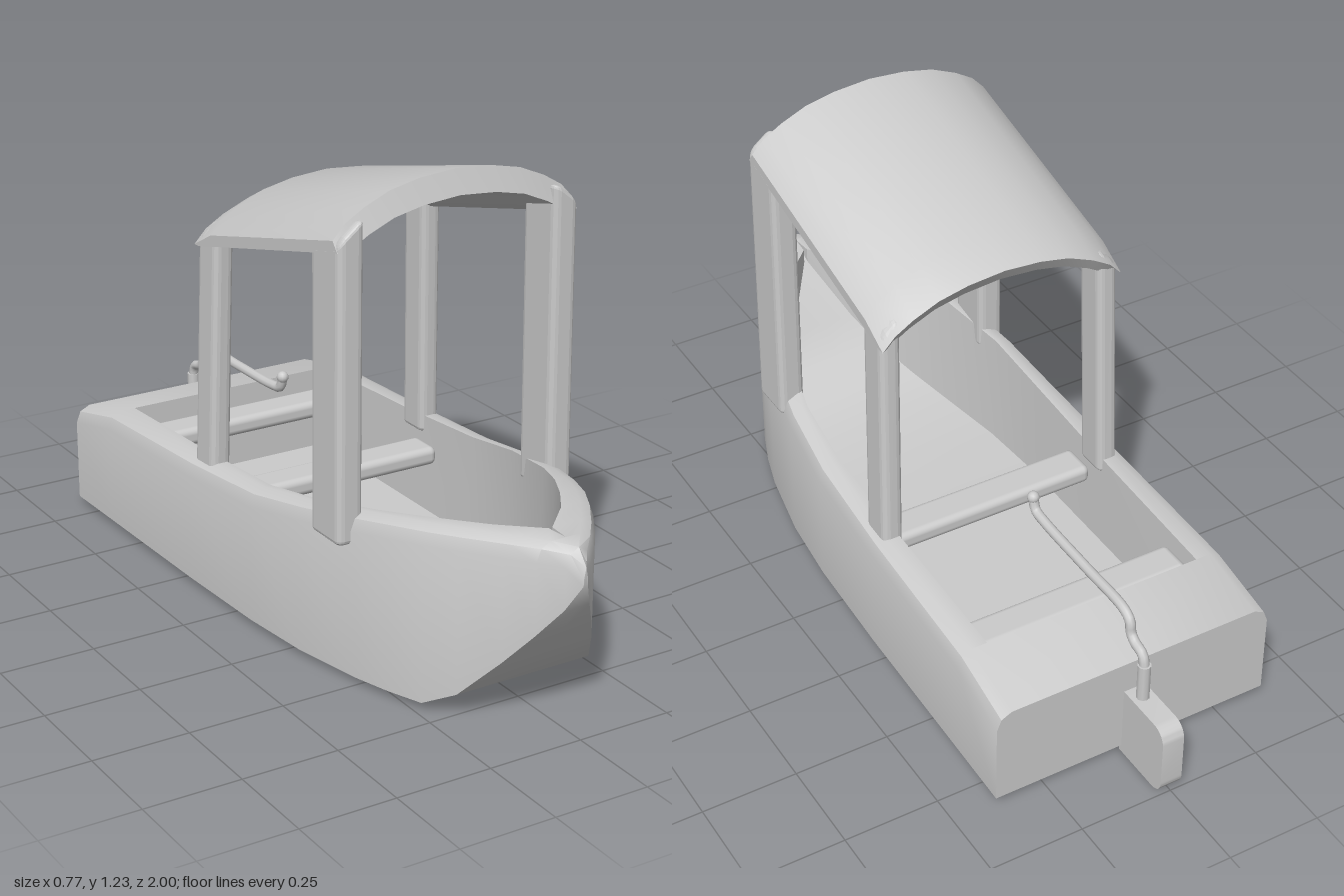
import * as THREE from 'three';
import { toCreasedNormals } from 'three/addons/utils/BufferGeometryUtils.js';
import { RoundedBoxGeometry } from 'three/addons/geometries/RoundedBoxGeometry.js';

const material = new THREE.MeshStandardMaterial({ color: 0xcccccc, side: THREE.DoubleSide });

function add(parent, name, geometry, x = 0, y = 0, z = 0) {
  const mesh = new THREE.Mesh(geometry, material);
  mesh.name = name;
  mesh.position.set(x, y, z);
  parent.add(mesh);
  return mesh;
}

// Skin closed rings of [x, y, z] points and cap both ends
function loft(rings, crease) {
  const n = rings[0].length, index = [], last = (rings.length - 1) * n;
  for (let k = 0; k < rings.length - 1; k++) {
    for (let i = 0; i < n; i++) {
      const a = k * n + i, b = k * n + (i + 1) % n;
      index.push(a, b, b + n, a, b + n, a + n);
    }
  }
  for (let i = 1; i < n - 1; i++) {
    index.push(0, i + 1, i, last, last + i, last + i + 1);
  }
  const g = new THREE.BufferGeometry();
  g.setAttribute('position', new THREE.Float32BufferAttribute(rings.flat(2), 3));
  g.setIndex(index);
  return toCreasedNormals(g, crease);
}

// Hull stations: z, half width, keel y, rim y, cockpit half width, floor y
const stations = [
  [-0.83, 0.385, 0.02, 0.285, 0, 0.285],
  [-0.64, 0.381, 0.02, 0.33, 0, 0.33],
  [-0.64, 0.381, 0.02, 0.33, 0.3, 0.1],
  [-0.2, 0.372, 0.02, 0.352, 0.3, 0.1],
  [0.1, 0.36, 0.02, 0.375, 0.3, 0.1],
  [0.3, 0.34, 0.02, 0.41, 0.287, 0.1],
  [0.5, 0.3, 0.02, 0.445, 0.24, 0.12],
  [0.6, 0.27, 0.02, 0.46, 0.2, 0.15],
  [0.69, 0.235, 0.02, 0.47, 0.15, 0.2],
  [0.77, 0.19, 0.065, 0.476, 0.095, 0.28],
  [0.86, 0.128, 0.17, 0.48, 0.005, 0.44],
  [0.92, 0.08, 0.25, 0.48, 0, 0.48],
  [0.97, 0.035, 0.325, 0.475, 0, 0.475],
  [1, 0.006, 0.39, 0.45, 0, 0.45],
];

function hullRing([z, w, yb, yt, wi, floor]) {
  const half = [
    [0, yb], [w, yb], [w, yt - 0.045],
    [Math.max(wi, w - 0.012), yt - 0.014],
    [Math.max(wi, w - 0.04), yt],
    [wi, yt], [wi * 0.96, floor], [0, floor],
  ];
  const mirrored = half.slice(1, -1).reverse().map(([x, y]) => [-x, y]);
  return [...half, ...mirrored].map(([x, y]) => [x, y, z]);
}

// Crown of the roof: how far it falls away from the centreline
const crown = [[0, 0], [0.1, 0.008], [0.18, 0.025], [0.25, 0.055], [0.3, 0.085], [0.333, 0.12]];
function drop(x) {
  const a = Math.min(Math.abs(x), 0.333);
  for (let i = 1; i < crown.length; i++) {
    const [x0, d0] = crown[i - 1], [x1, d1] = crown[i];
    if (a <= x1) return d0 + (d1 - d0) * (a - x0) / (x1 - x0);
  }
  return 0.12;
}

function roofGeometry() {
  // Fore-and-aft profile: z, y, and whether the point is on the underside
  const profile = [
    [0.475, 1.17, 1], [-0.1, 1.03, 1], [-0.19, 1.005, 1],
    [-0.21, 1.04, 0], [-0.125, 1.085, 0], [0.455, 1.23, 0],
  ];
  const xs = [...crown.slice(1).reverse().map(c => -c[0]), ...crown.map(c => c[0])];
  return loft(xs.map(x => profile.map(([z, y, under]) =>
    [x, y - (under ? Math.min(drop(x), 0.085) : drop(x)), z])), 0.6);
}

// Upright that leans from its foot to its head and is trimmed to the roof
function postGeometry(foot, head, width, depth) {
  const g = new RoundedBoxGeometry(width, 1, depth, 2, 0.018);
  const p = g.attributes.position;
  for (let i = 0; i < p.count; i++) {
    const t = THREE.MathUtils.clamp(p.getY(i) + 0.5, 0, 1);
    const x = p.getX(i) + THREE.MathUtils.lerp(foot[0], head[0], t);
    const z = p.getZ(i) + THREE.MathUtils.lerp(foot[2], head[2], t);
    const top = 1.115 + 0.252 * z - drop(x) - 0.012;
    p.setXYZ(i, x, THREE.MathUtils.lerp(foot[1], top, t), z);
  }
  g.computeVertexNormals();
  return g;
}

export function createModel() {
  const boat = new THREE.Group();
  boat.name = 'boat';

  add(boat, 'hull', loft(stations.map(hullRing), 0.65));

  // Benches across the cockpit
  for (const z of [-0.56, -0.11]) {
    add(boat, 'bench', new RoundedBoxGeometry(0.6, 0.05, 0.1, 3, 0.018), 0, 0.265, z);
  }

  // Canopy
  const canopy = new THREE.Group();
  canopy.name = 'canopy';
  boat.add(canopy);
  add(canopy, 'roof', roofGeometry());
  for (const side of [1, -1]) {
    add(canopy, 'frontPost', postGeometry(
      [side * 0.302, 0.36, 0.418], [side * 0.298, 1.1, 0.418], 0.07, 0.132));
    add(canopy, 'rearPost', postGeometry(
      [side * 0.316, 0.31, -0.17], [side * 0.303, 1, -0.15], 0.056, 0.095));
  }

  // Outboard motor with its tiller
  const motor = new THREE.Group();
  motor.name = 'outboardMotor';
  boat.add(motor);
  const casing = new THREE.Shape();
  casing.moveTo(0.82, 0);
  casing.lineTo(0.965, 0);
  casing.quadraticCurveTo(1, 0.005, 1, 0.04);
  casing.lineTo(1, 0.16);
  casing.quadraticCurveTo(0.995, 0.195, 0.96, 0.198);
  casing.lineTo(0.82, 0.198);
  const casingGeometry = new THREE.ExtrudeGeometry(casing, { depth: 0.06, bevelEnabled: false });
  casingGeometry.translate(0, 0, -0.03).rotateY(Math.PI / 2);
  add(motor, 'motorCasing', toCreasedNormals(casingGeometry, 0.6));

  const path = [
    [0.18, -0.865], [0.29, -0.865], [0.325, -0.855], [0.338, -0.82], [0.355, -0.803],
    [0.385, -0.797], [0.403, -0.77], [0.407, -0.6], [0.412, -0.41], [0.42, -0.37], [0.45, -0.357],
  ].map(([y, z]) => new THREE.Vector3(0, y, z));
  const curve = new THREE.CatmullRomCurve3(path, false, 'centripetal');
  add(motor, 'tiller', new THREE.TubeGeometry(curve, 60, 0.013, 10));
  add(motor, 'tillerKnob', new THREE.SphereGeometry(0.016, 12, 8), 0, 0.452, -0.357);
  add(motor, 'tillerSocket', new THREE.CylinderGeometry(0.017, 0.017, 0.12, 10), 0, 0.24, -0.865);

  return boat;
}
